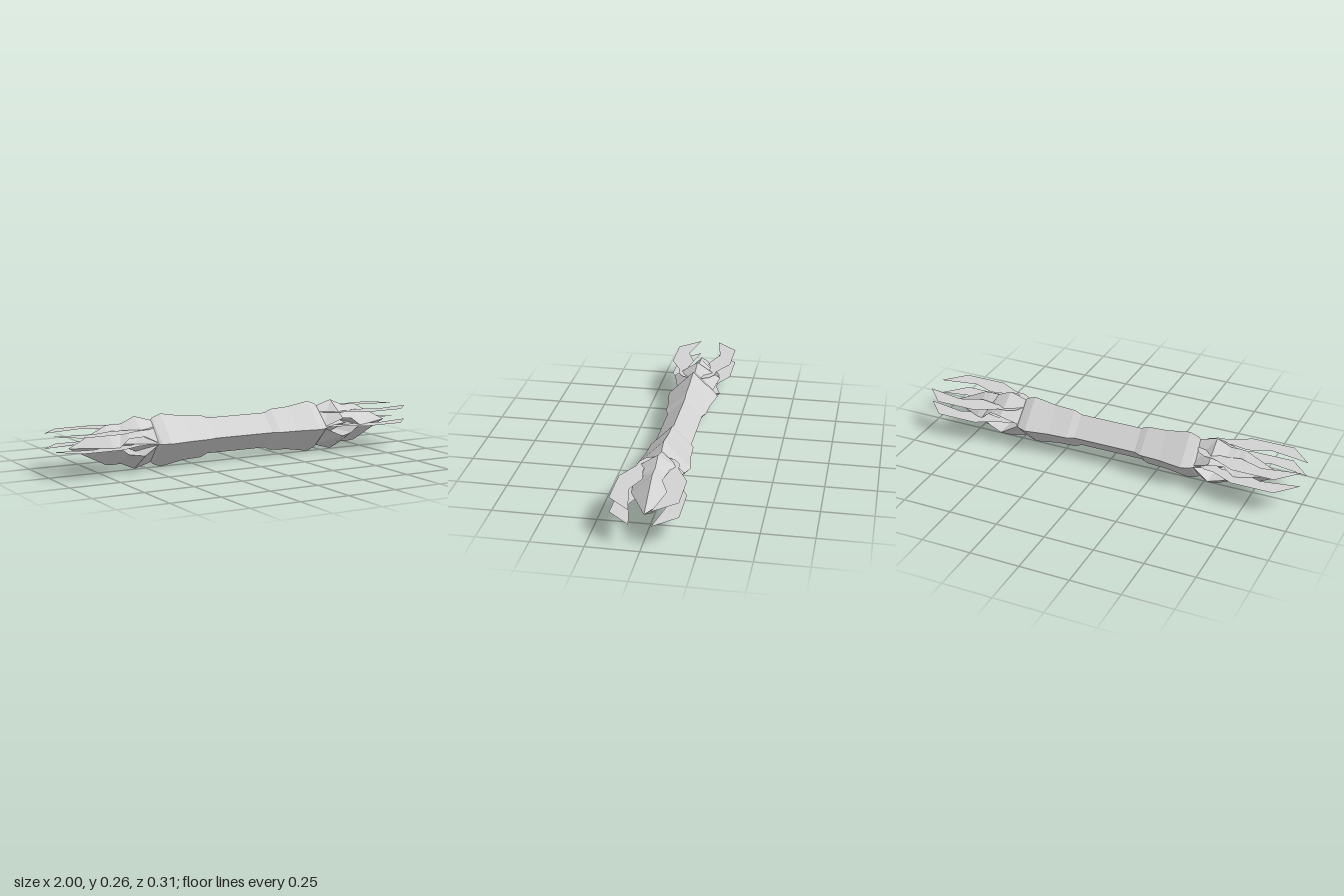
import * as THREE from 'three';

const steel = new THREE.MeshStandardMaterial({ color: 0xd2d2d2, flatShading: true, side: THREE.DoubleSide });
steel.name = 'grey steel';

function add(parent, name, geometry) {
  const mesh = new THREE.Mesh(geometry, steel);
  mesh.name = name;
  parent.add(mesh);
  return mesh;
}

// Four-sided shaft lying along x, given [x, radius] from one tip to the middle
function shaftGeometry() {
  const half = [[0.66, 0], [0.56, 0.04], [0.49, 0.085], [0.465, 0.113], [0.42, 0.13],
    [0.3, 0.11], [0.2, 0.105], [0.17, 0.092], [0.165, 0.089]];
  const points = [
    ...half.map(([x, r]) => new THREE.Vector2(r, -x)),
    ...half.slice().reverse().map(([x, r]) => new THREE.Vector2(r, x)),
  ];
  return new THREE.LatheGeometry(points, 4).rotateZ(-Math.PI / 2);
}

// Triangular beak lofted along x: [x, ridge height, half width, underside height]
function beakGeometry() {
  const sections = [[0.465, 0.1, 0.09, 0], [0.56, 0.128, 0.122, 0.046],
    [0.63, 0.097, 0.095, 0.038], [0.68, 0.098, 0.1, 0], [0.71, 0.095, 0.095, 0], [0.9, 0, 0, 0]];
  const position = [];
  const index = [];
  for (const [x, top, width, bottom] of sections) {
    position.push(x, top, 0, x, bottom, width, x, bottom, -width);
  }
  for (let s = 0; s < sections.length - 1; s++) {
    for (let k = 0; k < 3; k++) {
      const a = s * 3 + k;
      const b = s * 3 + (k + 1) % 3;
      index.push(a, b, a + 3, b, b + 3, a + 3);
    }
  }
  index.push(0, 2, 1);
  const geometry = new THREE.BufferGeometry();
  geometry.setAttribute('position', new THREE.Float32BufferAttribute(position, 3));
  geometry.setIndex(index);
  geometry.computeVertexNormals();
  return geometry;
}

// Pair of flat hooked blades, mirrored across the axis
function bladeGeometry() {
  const outline = [[0.47, 0.025], [0.49, 0.07], [0.53, 0.095], [0.58, 0.1], [0.69, 0.157], [0.9, 0.157],
    [1, 0.05], [0.81, 0.085], [0.7, 0.043], [0.61, 0.06], [0.55, 0.025]];
  const shapes = [1, -1].map((side) =>
    new THREE.Shape(outline.map(([x, z]) => new THREE.Vector2(x, z * side))));
  return new THREE.ShapeGeometry(shapes).rotateX(-Math.PI / 2);
}

export function createModel() {
  const model = new THREE.Group();
  model.name = 'doubleEndedSceptre';
  const body = new THREE.Group();
  body.name = 'body';
  body.position.y = 0.133;
  model.add(body);

  add(body, 'shaft', shaftGeometry());

  const beak = beakGeometry();
  const blades = bladeGeometry();
  for (const end of ['left', 'right']) {
    const head = new THREE.Group();
    head.name = end + 'Head';
    head.rotation.y = end === 'left' ? 0 : Math.PI;
    body.add(head);
    add(head, 'upperBeak', beak);
    add(head, 'lowerBeak', beak).rotation.x = Math.PI;
    add(head, 'upperBlades', blades).position.y = 0.073;
    add(head, 'middleBlades', blades);
  }
  return model;
}
